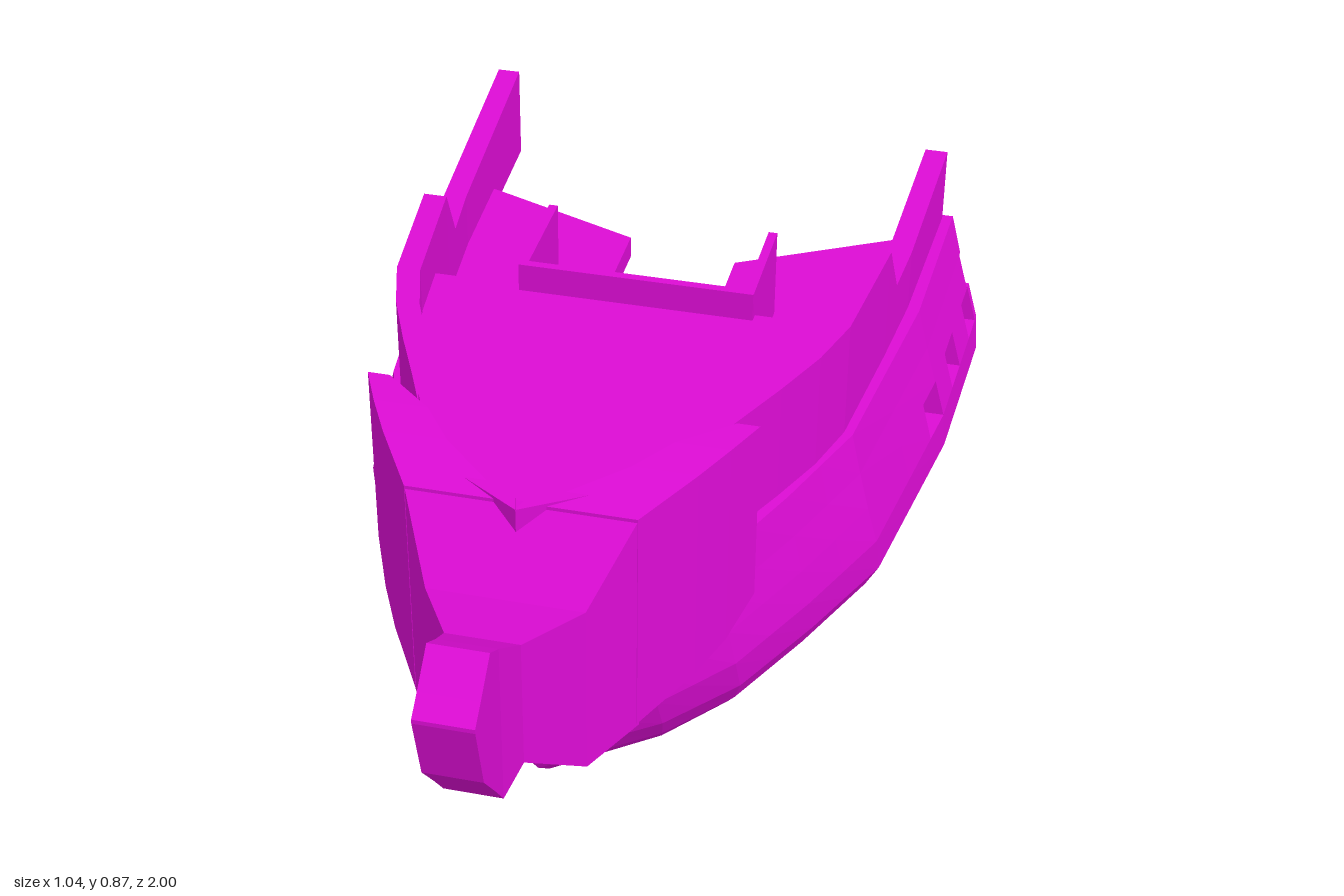
import * as THREE from 'three';

const paint = new THREE.MeshStandardMaterial({ color: 0xdc0cd4 });
paint.name = 'magenta';

// Piecewise linear lookup in a list of [key, value]
function interp(table, v) {
  if (v <= table[0][0]) return table[0][1];
  for (let i = 1; i < table.length; i++) {
    const [a, p] = table[i - 1], [b, q] = table[i];
    if (v <= b) return p + (q - p) * (v - a) / (b - a);
  }
  return table[table.length - 1][1];
}

// Hull lines: widest half-width by height, stem position by height, fullness along the length
const WIDTH = [[0, 0], [0.11, 0.3], [0.21, 0.435], [0.27, 0.475], [0.33, 0.503], [0.4, 0.498], [0.54, 0.46], [0.62, 0.44]];
const STEM = [[0, -0.2], [0.03, 0.08], [0.07, 0.2], [0.15, 0.39], [0.23, 0.5], [0.3, 0.57], [0.38, 0.62], [0.44, 0.64]];
const FULL = [[-0.1, 1.04], [0, 1.025], [0.25, 1], [0.54, 0.89], [0.68, 0.73], [0.81, 0.56], [0.9, 0.36], [1, 0]];
const THICK_X = [[0, 0], [0.11, 0.01], [0.21, 0.03], [0.33, 0.04]];
const THICK_Y = [[0, 0.09], [0.11, 0.05], [0.21, 0.015], [0.27, 0]];
const STATIONS = [0, 0.12, 0.25, 0.4, 0.54, 0.61, 0.68, 0.75, 0.81, 0.86, 0.9, 0.95, 1];
const MID = -0.74;
const stationZ = (y, s) => MID + s * (interp(STEM, y) - MID);
const halfWidth = (y, z) => interp(WIDTH, y) * interp(FULL, (z - MID) / (interp(STEM, y) - MID));

// Bulwark: half-width and top height along the length
const BULWARK = [[-0.82, 0.438], [-0.4, 0.42], [-0.24, 0.405], [0, 0.378], [0.1, 0.348], [0.2, 0.305],
  [0.3, 0.258], [0.38, 0.222], [0.5, 0.17], [0.57, 0.095], [0.63, 0]];
const RAIL = [[-0.82, 0.76], [-0.3, 0.72], [-0.24, 0.82], [0.37, 0.82], [0.38, 0.845]];
const bulwarkWidth = z => interp(BULWARK, z);

// Closed solid through equal-sized rings of corners, flat shaded, faces turned outward
function loft(rings) {
  const n = rings[0].length, tris = [];
  const quad = (a, b, c, d) => tris.push([a, b, c], [a, c, d]);
  for (let k = 0; k + 1 < rings.length; k++) {
    for (let i = 0; i < n; i++) {
      const j = (i + 1) % n;
      quad(rings[k][i], rings[k][j], rings[k + 1][j], rings[k + 1][i]);
    }
  }
  const first = rings[0], last = rings[rings.length - 1];
  for (let i = 1; i + 1 < n; i++) {
    tris.push([first[0], first[i + 1], first[i]], [last[0], last[i], last[i + 1]]);
  }
  const vec = p => new THREE.Vector3(...p), origin = vec(first[0]);
  let volume = 0;
  for (const t of tris) {
    const [a, b, c] = t.map(p => vec(p).sub(origin));
    volume += a.dot(b.cross(c));
  }
  const pos = [];
  for (const [a, b, c] of tris) pos.push(...(volume < 0 ? [a, c, b] : [a, b, c]).flat());
  const geo = new THREE.BufferGeometry();
  geo.setAttribute('position', new THREE.Float32BufferAttribute(pos, 3));
  geo.computeVertexNormals();
  return geo;
}

// One hull strake between two heights, from za forward to zb (or to the stem)
function strake(side, lo, hi, za, zb = null) {
  const end = zb ?? 9;
  const stops = [() => za];
  for (const s of STATIONS) {
    const z = stationZ(hi, s);
    if (z > za + 0.01 && z < end - 0.01) stops.push(y => stationZ(y, s));
  }
  if (zb !== null) stops.push(() => zb);
  const outer = (y, z) => [side * halfWidth(y, z), y, z];
  const inner = (y, z) => [side * Math.max(0, halfWidth(y, z) - interp(THICK_X, y)), y + interp(THICK_Y, y), z];
  return loft(stops.map(f => [outer(lo, f(lo)), outer(hi, f(hi)), inner(hi, f(hi)), inner(lo, f(lo))]));
}

export function createModel() {
  const model = new THREE.Group();
  model.name = 'brokenShipBow';
  const ship = new THREE.Group();
  ship.name = 'ship';
  ship.position.x = 0.01;
  model.add(ship);
  const add = (name, geo, parent = ship) => {
    const mesh = new THREE.Mesh(geo, paint);
    mesh.name = name;
    parent.add(mesh);
    return mesh;
  };
  const box = (name, w, h, d, x, y, z) =>
    add(name, new THREE.BoxGeometry(w, h, d)).position.set(x, y, z);

  // Hull strakes with ragged stern ends: [low, high, stern on the left, stern on the right]
  const strakes = [
    [0, 0.015, -1, -1], [0.015, 0.045, -0.905, -0.92], [0.045, 0.07, -0.86, -0.96], [0.07, 0.11, -0.86, -0.96],
    [0.11, 0.15, -0.7, -0.86], [0.15, 0.21, -0.7, -0.86], [0.21, 0.27, -0.74, -0.74], [0.27, 0.33, -0.74, -0.74],
    [0.33, 0.4, -0.74, -0.81], [0.47, 0.54, -0.72, -0.72],
  ];
  for (const side of [1, -1]) {
    const hull = new THREE.Group();
    hull.name = side > 0 ? 'leftHull' : 'rightHull';
    ship.add(hull);
    for (const [lo, hi, left, right] of strakes) add('strake', strake(side, lo, hi, side > 0 ? left : right), hull);

    // Gun ports are the gaps in this strake
    const ports = [[-0.32, null], [-0.49, -0.4], [-0.66, -0.565], [side > 0 ? -0.74 : -0.8, -0.725]];
    for (const [a, b] of ports) add('gunPortStrake', strake(side, 0.4, 0.47, a, b), hull);

    // Wale
    add('wale', strake(side, 0.54, 0.615, side > 0 ? -0.73 : -0.83), hull);

    // Bulwark, stepped down towards the stern
    const zs = [side > 0 ? -0.72 : -0.82, -0.4, -0.3, -0.24, 0, 0.1, 0.2, 0.3, 0.37, 0.38, 0.5, 0.57, 0.6, 0.63];
    add('bulwark', loft(zs.map(z => {
      const o = side * bulwarkWidth(z), i = side * Math.max(0, bulwarkWidth(z) - 0.04), top = interp(RAIL, z);
      return [[o, 0.59, z], [o, top, z], [i, top, z], [i, 0.59, z]];
    })), hull);

    // Bow shield: half-width, z, bottom, top, inner half-width
    const shield = [
      [0.305, 0.37, 0.55, 0.865, 0.27], [0.275, 0.435, 0.505, 0.862, 0.19],
      [0.24, 0.5, 0.48, 0.855, 0.14], [0.175, 0.605, 0.455, 0.84, 0.02],
    ];
    add('bowShield', loft(shield.map(([o, z, b, t, i]) =>
      [[side * o, b, z], [side * o, t, z], [side * i, t, z], [side * i, b, z]])), hull);

    // Ramp between the two decks
    add('ramp', loft([0.19, 0.365].map(x =>
      [[side * x, 0.62, -0.12], [side * x, 0.74, -0.12], [side * x, 0.62, -0.3]])), hull);
    box('hatchSideWall', 0.015, 0.17, 0.2, side * 0.193, 0.705, -0.205);
  }
  box('hatchFrontWall', 0.4, 0.17, 0.015, 0, 0.705, -0.11);

  // Ram: z, half-width, bottom, top
  const ram = [
    [0.6, 0.177, 0.45, 0.84], [0.695, 0.12, 0.435, 0.73], [0.81, 0.056, 0.53, 0.75],
    [0.88, 0.045, 0.52, 0.797], [0.92, 0.045, 0.57, 0.822], [0.97, 0.045, 0.63, 0.777], [1, 0.045, 0.745, 0.752],
  ];
  add('ram', loft(ram.map(([z, w, b, t]) => [[-w, b, z], [w, b, z], [w, t, z], [-w, t, z]])));

  // Fore deck
  add('foreDeck', loft([-0.12, 0, 0.1, 0.2, 0.3, 0.38, 0.5, 0.57, 0.61].map(z => {
    const w = Math.max(0.01, bulwarkWidth(z) - 0.015);
    return [[-w, 0.715, z], [w, 0.715, z], [w, 0.74, z], [-w, 0.74, z]];
  })));

  // Lower deck with a broken rear edge
  const edge = [[-0.415, -0.61], [-0.36, -0.59], [-0.1, -0.49], [-0.1, -0.33], [0.1, -0.33], [0.1, -0.45],
    [0.37, -0.6], [0.415, -0.625], [0.405, -0.35], [0.37, -0.1], [-0.37, -0.1], [-0.405, -0.35]];
  const deck = new THREE.ExtrudeGeometry(new THREE.Shape(edge.map(p => new THREE.Vector2(...p))),
    { depth: 0.04, bevelEnabled: false });
  deck.rotateX(Math.PI / 2).translate(0, 0.63, 0);
  add('lowerDeck', deck);

  return model;
}
